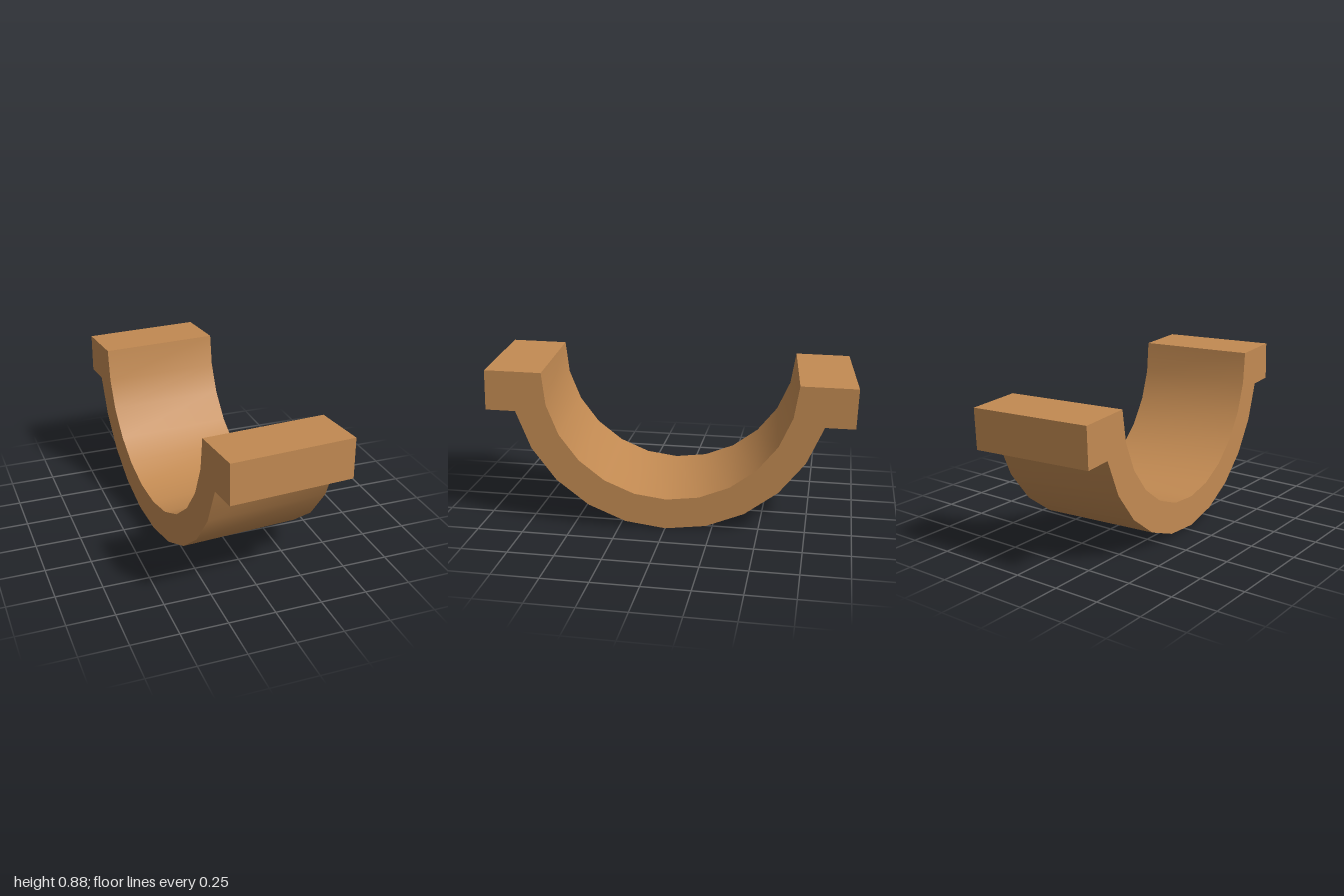
import * as THREE from 'three';
import { toCreasedNormals } from 'three/addons/utils/BufferGeometryUtils.js';

const INNER = 0.672, OUTER = 0.842; // half-ring radii
const HALF = 0.973, LIP = 0.216;    // flange reach and thickness
const WIDTH = 0.662;

export function createModel() {
  const group = new THREE.Group();
  group.name = 'halfBearingSaddle';

  // Half-ring cross-section with a square flange at each end
  const shape = new THREE.Shape();
  const start = Math.asin(LIP / OUTER);
  shape.moveTo(-HALF, 0);
  shape.lineTo(-HALF, -LIP);
  for (let i = 0; i <= 10; i++) {
    const a = Math.PI + start + (Math.PI - 2 * start) * i / 10;
    shape.lineTo(OUTER * Math.cos(a), OUTER * Math.sin(a));
  }
  shape.lineTo(HALF, -LIP);
  shape.lineTo(HALF, 0);
  for (let i = 0; i <= 12; i++) {
    const a = -Math.PI * i / 12;
    shape.lineTo(INNER * Math.cos(a), INNER * Math.sin(a));
  }
  shape.closePath();

  // Sweep along x, smooth curves with sharp edges
  const geometry = new THREE.ExtrudeGeometry(shape, { depth: WIDTH, bevelEnabled: false });
  geometry.translate(0, 0, -WIDTH / 2);
  geometry.rotateY(Math.PI / 2);
  const saddle = new THREE.Mesh(
    toCreasedNormals(geometry, 0.6),
    new THREE.MeshStandardMaterial({ color: 0xc28a52 })
  );
  saddle.name = 'saddle';

  // Slight resting tilt and turn
  saddle.rotation.set(-0.028, 0.081, -0.01, 'YXZ');
  saddle.position.y = 0.847;
  group.add(saddle);
  return group;
}
